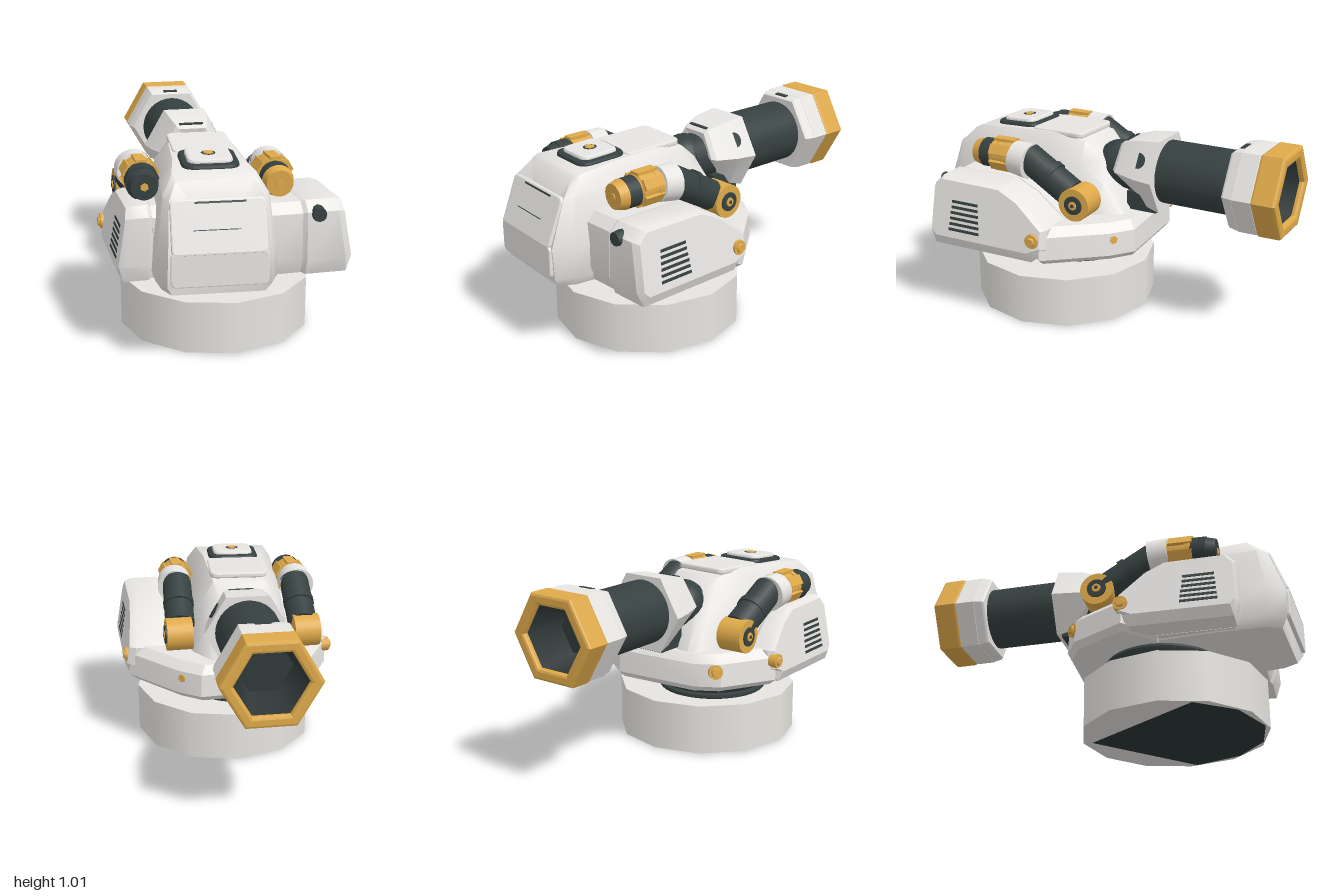
import * as THREE from 'three';
import { toCreasedNormals } from 'three/addons/utils/BufferGeometryUtils.js';

const mat = (name, color) => Object.assign(new THREE.MeshStandardMaterial({ color }), { name });

// Skin a list of equal-length point loops into a closed solid, facing outward
function loft(loops, crease = 0.5) {
  const tris = [], n = loops[0].length;
  for (let i = 0; i + 1 < loops.length; i++) for (let j = 0; j < n; j++) {
    const k = (j + 1) % n, [a, b] = [loops[i], loops[i + 1]];
    tris.push([a[j], a[k], b[k]], [a[j], b[k], b[j]]);
  }
  const cap = (l, flip) => {
    const c = [0, 1, 2].map(q => l.reduce((s, p) => s + p[q], 0) / n);
    l.forEach((p, j) => tris.push(flip ? [c, l[(j + 1) % n], p] : [c, p, l[(j + 1) % n]]));
  };
  cap(loops[0], true);
  cap(loops[loops.length - 1], false);
  let vol = 0;
  const v = p => new THREE.Vector3(...p);
  tris.forEach(([a, b, c]) => { vol += v(a).dot(v(b).cross(v(c))); });
  if (vol < 0) tris.forEach(t => t.reverse());
  const g = new THREE.BufferGeometry();
  g.setAttribute('position', new THREE.Float32BufferAttribute(tris.flat(2), 3));
  return toCreasedNormals(g, crease);
}

// Round rod between two points
function rod(a, b, r0, r1 = r0, sides = 24) {
  const A = new THREE.Vector3(...a), d = new THREE.Vector3(...b).sub(A);
  const g = new THREE.CylinderGeometry(r1, r0, d.length(), sides);
  g.applyQuaternion(new THREE.Quaternion().setFromUnitVectors(new THREE.Vector3(0, 1, 0), d.clone().normalize()));
  A.addScaledVector(d, 0.5);
  return g.translate(A.x, A.y, A.z);
}

// Flat slab with rounded plan corners, lying on y = 0
function slab(w, d, h, r) {
  const s = new THREE.Shape(), x = w / 2, y = d / 2, b = h * 0.4;
  s.moveTo(-x + r, -y).lineTo(x - r, -y).quadraticCurveTo(x, -y, x, -y + r)
    .lineTo(x, y - r).quadraticCurveTo(x, y, x - r, y)
    .lineTo(-x + r, y).quadraticCurveTo(-x, y, -x, y - r)
    .lineTo(-x, -y + r).quadraticCurveTo(-x, -y, -x + r, -y);
  return new THREE.ExtrudeGeometry(s, { depth: h - b, bevelThickness: b, bevelSize: b, bevelOffset: -b, bevelSegments: 2 })
    .rotateX(-Math.PI / 2);
}

const polygon = pts => new THREE.Shape(pts.map(p => new THREE.Vector2(p[0], p[1])));
const hex = (cx, cy, R, zs) => zs.map((z, i) =>
  [cx + R * Math.cos(i * Math.PI / 3), cy + R * Math.sin(i * Math.PI / 3), z]);

export function createModel() {
  const white = mat('white armour', 0xf2f0ed), dark = mat('dark metal', 0x364040);
  const gold = mat('gold metal', 0xdea94a), grey = mat('base grey', 0xe6e4df), black = mat('dark underside', 0x2b3335);
  const root = new THREE.Group();
  const add = (parent, geo, m, name) => {
    const mesh = new THREE.Mesh(geo, m);
    mesh.name = name;
    parent.add(mesh);
    return mesh;
  };

  // Base drum with a dark patch underneath, and turning ring
  add(root, new THREE.CylinderGeometry(0.495, 0.495, 0.267, 12).translate(0, 0.1365, 0.305), grey, 'baseDrum');
  const q = Math.SQRT1_2, down = new THREE.Matrix4().makeBasis(
    new THREE.Vector3(-q, 0, -q), new THREE.Vector3(q, 0, -q), new THREE.Vector3(0, -1, 0)).setPosition(0, 0, 0.305);
  add(root, new THREE.ShapeGeometry(polygon([[-0.36, 0.31], [-0.47, 0.06], [-0.44, -0.18], [-0.3, -0.37], [-0.05, -0.47],
    [0.2, -0.43], [0.32, 0.31]].reverse())).applyMatrix4(down), black, 'undersidePatch');
  const ring = [[0, 0.26], [0.28, 0.26], [0.295, 0.275], [0.295, 0.29], [0.25, 0.3], [0.29, 0.305],
    [0.305, 0.32], [0.315, 0.35], [0.305, 0.367], [0.25, 0.37], [0.25, 0.41], [0, 0.41]];
  add(root, toCreasedNormals(new THREE.LatheGeometry(ring.map(p => new THREE.Vector2(...p)), 40), 0.5)
    .translate(-0.07, 0, 0.26), dark, 'turningRing');

  // Central hull, turned slightly on its ring
  const hull = new THREE.Group();
  hull.name = 'hull';
  hull.position.set(-0.07, 0, 0.26);
  hull.rotation.y = -0.09;
  root.add(hull);
  // each row: [half width, y, z] from the bottom edge up to the roof
  const ribs = [
    [[0.22, 0.39, 0.68], [0.245, 0.44, 0.71], [0.24, 0.6, 0.715], [0.225, 0.83, 0.63], [0.185, 0.905, 0.56]],
    [[0.26, 0.39, 0.6], [0.29, 0.44, 0.61], [0.28, 0.6, 0.62], [0.25, 0.84, 0.58], [0.2, 0.925, 0.52]],
    [[0.28, 0.39, 0.3], [0.3, 0.44, 0.3], [0.285, 0.62, 0.3], [0.24, 0.85, 0.3], [0.17, 0.938, 0.3]],
    [[0.28, 0.39, 0.04], [0.3, 0.44, 0.04], [0.285, 0.62, 0.04], [0.23, 0.86, 0.04], [0.16, 0.95, 0.04]],
    [[0.28, 0.39, -0.16], [0.29, 0.44, -0.16], [0.28, 0.6, -0.16], [0.21, 0.82, -0.16], [0.14, 0.922, -0.14]],
    [[0.26, 0.39, -0.28], [0.28, 0.44, -0.28], [0.27, 0.56, -0.28], [0.18, 0.72, -0.28], [0.11, 0.83, -0.25]],
    [[0.24, 0.39, -0.42], [0.25, 0.43, -0.42], [0.23, 0.5, -0.42], [0.17, 0.56, -0.42], [0.1, 0.6, -0.4]]];
  add(hull, loft(ribs.map(r => [...r, ...r.map(([w, y, z]) => [-w, y, z]).reverse()]), 0.8), white, 'hullShell');

  // Front plate with a slot
  const plate = new THREE.Group();
  plate.name = 'frontPlate';
  plate.position.set(0, 0.712, 0.664);
  plate.rotation.x = -0.36;
  hull.add(plate);
  add(plate, slab(0.45, 0.26, 0.022, 0.03).rotateX(Math.PI / 2), white, 'frontPanel');
  add(plate, new THREE.BoxGeometry(0.24, 0.009, 0.006).translate(0.01, 0.112, 0.021), dark, 'frontSlot');
  add(plate, new THREE.BoxGeometry(0.22, 0.004, 0.004).translate(-0.01, -0.015, 0.022), dark, 'frontSeam');
  add(hull, slab(0.46, 0.17, 0.016, 0.03).rotateX(Math.PI / 2).translate(0, 0.525, 0.71), white, 'lowerFrontPanel');

  // Roof hatch and deck panel
  const place = (geo, y, z, tilt, m, name) => {
    const o = add(hull, geo, m, name);
    o.position.set(0, y, z);
    o.rotation.x = tilt;
  };
  place(slab(0.28, 0.27, 0.035, 0.07), 0.92, 0.33, 0.06, dark, 'hatchSeal');
  place(slab(0.22, 0.21, 0.03, 0.05), 0.943, 0.33, 0.06, white, 'hatchLid');
  place(new THREE.CylinderGeometry(0.036, 0.036, 0.008, 8), 0.97, 0.33, 0.06, dark, 'hatchKnobRing');
  place(new THREE.CylinderGeometry(0.026, 0.028, 0.01, 6), 0.973, 0.33, 0.06, gold, 'hatchKnob');
  place(slab(0.31, 0.33, 0.022, 0.045), 0.936, 0.04, 0.04, white, 'deckPanel');

  // Rear skirt
  const plan = [[-0.555, 0.14], [-0.395, -0.14], [-0.27, -0.21], [0.21, -0.23], [0.325, -0.14], [0.555, 0.15], [0.4, 0.3], [-0.4, 0.3]];
  const skirt = (y, k) => plan.map(([x, z]) => [-0.03 + (x + 0.03) * k, y, 0.1 + (z - 0.1) * k]);
  add(root, loft([skirt(0.38, 0.93), skirt(0.41, 1), skirt(0.53, 0.98), skirt(0.575, 0.88)]), white, 'rearSkirt');

  // Side pods and pipes
  const side = [[0.83, 0.47], [0.82, 0.71], [0.77, 0.76], [0.4, 0.755], [0.28, 0.7], [0.12, 0.57], [0.12, 0.47], [0.2, 0.39], [0.8, 0.39]];
  for (const s of [1, -1]) {
    const left = s > 0, tag = left ? 'left' : 'right';
    const zOf = z => (left ? z : z - 0.1 * (z - 0.05) / 0.77);
    const face = y => s * (0.566 - (y - 0.47) * 0.17);
    const loop = (x, k, low = 0) => side.map(([z, y]) => {
      const h = Math.max(low, 0.56 + (y - 0.56) * k);
      return [x(h), h, zOf(0.5 + (z - 0.5) * k)];
    });
    const seam = left ? 0.315 : -0.4;
    add(root, loft([loop(() => seam, 0.95), loop(() => seam + s * 0.02, 1),
      loop(y => face(y) - s * 0.035, 1), loop(face, 0.94, 0.445)]), white, tag + 'Pod');
    add(root, loft([loop(() => s * 0.1, 0.96), loop(() => seam, 0.96)]), white, tag + 'PodInner');

    // Louvre slots on the flat pod face
    for (let i = 0; i < 6; i++) {
      const y = 0.49 + i * 0.03;
      const slot = add(root, new THREE.BoxGeometry(0.008, 0.015, 0.19 - i * 0.006), dark, tag + 'Louvre');
      slot.position.set(face(y) - s * 0.002, y, zOf(0.605));
      slot.rotation.z = s * 0.17;
    }

    // Gold bolts on the pod and the rear corner
    const bolt = (p, d, name) => {
      const at = t => p.map((v, i) => v + d[i] * t);
      add(root, rod(at(-0.03), at(0.014), 0.04, 0.038, 12), gold, name);
      add(root, rod(at(0.01), at(0.026), 0.028, 0.022, 6), gold, name + 'Head');
    };
    bolt([s * 0.557, 0.515, left ? 0.185 : 0.14], [s, 0, 0], tag + 'PodBolt');
    bolt(left ? [0.285, 0.49, -0.135] : [-0.365, 0.49, -0.15], [s * 0.7, 0.1, -0.7], tag + 'RearBolt');

    // Pipe: nose, padded clamp, collar, sloping tube, elbow joint
    const X = z => (left ? 0.28 - 0.075 * z : -0.39 - 0.045 * z), dz = left ? 0 : -0.09;
    const pt = (z, y) => [X(z + dz), y, z + dz];
    const pipe = new THREE.Group();
    pipe.name = tag + 'Pipe';
    root.add(pipe);
    const neck = left ? 0.078 : 0.084;
    add(pipe, rod(pt(0.58, 0.835), pt(0.66, 0.832), neck, neck), dark, 'pipeNeck');
    add(pipe, rod(pt(0.66, 0.832), pt(0.71, 0.83), 0.079, 0.066), left ? gold : dark, 'pipeNose');
    add(pipe, rod(pt(0.7, 0.83), pt(0.715, 0.83), 0.024, 0.02, 6), gold, 'pipeNoseBolt');
    add(pipe, rod(pt(0.46, 0.84), pt(0.59, 0.835), 0.081), gold, 'pipeClamp');
    for (const z of [0.475, 0.57]) add(pipe, rod(pt(z - 0.015, 0.838), pt(z + 0.015, 0.838), 0.084), gold, 'clampBand');
    for (let i = 0; i < 6; i++) {
      const a = i * Math.PI / 3, c = pt(0.525, 0.838);
      const pad = add(pipe, new THREE.BoxGeometry(0.055, 0.016, 0.125), gold, 'clampPad');
      pad.position.set(c[0] + 0.084 * Math.sin(a), c[1] + 0.084 * Math.cos(a), c[2]);
      pad.rotation.z = -a;
    }
    add(pipe, rod(pt(0.36, 0.83), pt(0.46, 0.84), 0.096, 0.09).translate(s * 0.012, 0, 0), white, 'pipeCollar');
    add(pipe, rod(pt(0.385, 0.85), pt(0.11, 0.695), 0.08), dark, 'pipeTube');
    add(pipe, rod(pt(0.25, 0.78), pt(0.22, 0.763), 0.084), dark, 'tubeBand');
    const j = pt(left ? 0.055 : 0.085, 0.665), along = d => [j[0] + s * d, j[1], j[2]];
    add(pipe, rod(along(-0.06), along(0.08), 0.088), gold, 'elbowJoint');
    add(pipe, rod(along(0.07), along(0.088), 0.05), dark, 'elbowDisc');
    add(pipe, rod(along(0.08), along(0.094), 0.026, 0.022, 12), gold, 'elbowHub');
    add(pipe, rod(along(0.09), along(0.096), 0.01, 0.01, 8), dark, 'elbowPin');
  }
  // Front sensor on the left pod
  add(root, rod([0.39, 0.7, 0.79], [0.39, 0.7, 0.84], 0.04, 0.034, 12), dark, 'podSensor');

  // Gun, swung slightly to one side
  const gun = new THREE.Group();
  gun.name = 'gun';
  gun.rotation.y = -0.025;
  root.add(gun);
  const gx = -0.03, gy = 0.795, flat = z => Array(6).fill(z);
  add(gun, new THREE.SphereGeometry(0.13, 24, 16).translate(-0.055, 0.785, -0.01), dark, 'gunPivot');
  add(gun, rod([-0.045, 0.78, 0], [gx, gy, -0.3], 0.125), dark, 'gunNeck');
  add(gun, new THREE.BoxGeometry(0.2, 0.1, 0.17).translate(gx, 0.635, -0.2), dark, 'gunCradle');
  add(gun, loft([hex(gx, 0.805, 0.145, [-0.055, -0.065, -0.065, -0.055, -0.17, -0.17]),
    hex(gx, 0.8, 0.168, [-0.075, -0.085, -0.085, -0.075, -0.19, -0.19]),
    hex(gx, 0.792, 0.205, [-0.2, -0.17, -0.17, -0.2, -0.235, -0.235]),
    hex(gx, 0.79, 0.224, flat(-0.31))], 0.3), white, 'mantlet');
  add(gun, new THREE.BoxGeometry(0.13, 0.008, 0.016).rotateX(0.3).translate(gx, 0.95, -0.095), dark, 'mantletSlot');
  const port = add(gun, new THREE.CylinderGeometry(0.042, 0.042, 0.009, 12, 1, false, Math.PI / 2, Math.PI), dark, 'mantletPort');
  port.position.set(gx + 0.161, 0.884, -0.208);
  port.rotation.z = -Math.PI / 3;
  add(gun, rod([gx, gy, -0.28], [gx, gy, -0.74], 0.168, 0.168, 32), dark, 'barrel');
  // Muzzle sleeve and rim are open in the middle, with a dark hexagonal bore
  const hexRing = (R, r, z, depth, bevel) => {
    const s = polygon(hex(0, 0, R, flat(0)));
    s.holes.push(polygon(hex(0, 0, r, flat(0)).reverse()));
    return new THREE.ExtrudeGeometry(s, { depth: depth - 2 * bevel, bevelThickness: bevel, bevelSize: bevel, bevelOffset: -bevel, bevelSegments: 2 })
      .translate(gx, gy, z + bevel);
  };
  add(gun, loft([hex(gx, gy, 0.222, flat(-0.705)), hex(gx, gy, 0.23, flat(-0.715)), hex(gx, gy, 0.24, flat(-0.76))], 0.3), white, 'sleeveBack');
  add(gun, hexRing(0.242, 0.19, -0.865, 0.105, 0.003), white, 'muzzleSleeve');
  add(gun, hexRing(0.246, 0.18, -0.994, 0.132, 0.014), gold, 'muzzleRim');
  const bore = mat('dark bore', 0x303838);
  bore.side = THREE.DoubleSide;
  add(gun, new THREE.CylinderGeometry(0.183, 0.14, 0.22, 6, 1, true, Math.PI / 6)
    .rotateX(-Math.PI / 2).translate(gx, gy, -0.87), bore, 'muzzleBore');
  add(gun, new THREE.CircleGeometry(0.15, 6).translate(gx, gy, -0.77), bore, 'boreEnd');
  add(gun, new THREE.BoxGeometry(0.08, 0.008, 0.025).rotateX(0.15).translate(gx, 0.998, -0.735), dark, 'sleeveNotch');
  return root;
}
